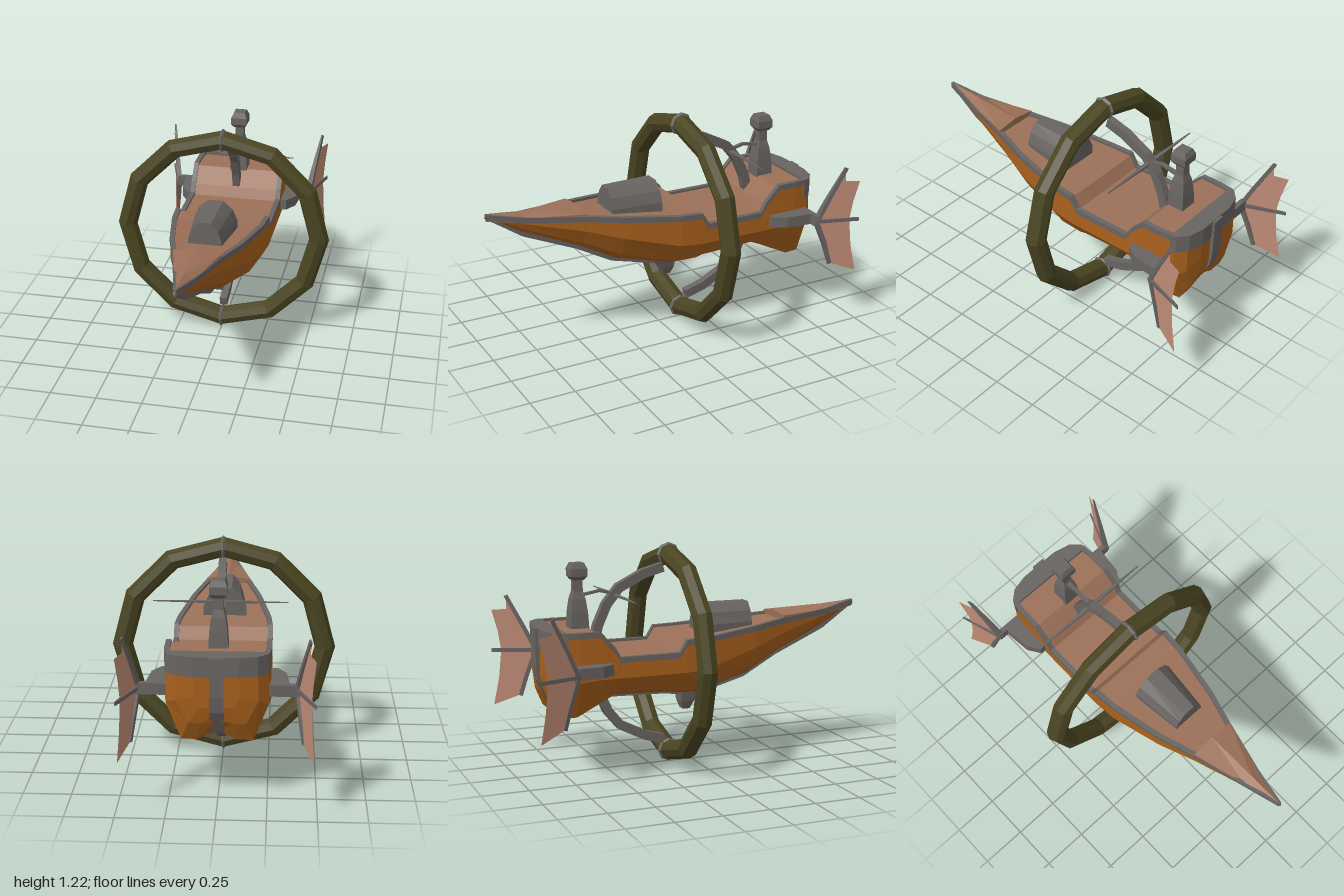
import * as THREE from 'three';

const mat = (color) => new THREE.MeshStandardMaterial({ color, flatShading: true, side: THREE.DoubleSide });
const GREY = mat(0x686462), WOOD = mat(0x9c7058), HULL = mat(0xa8601c);
const RING = mat(0x4a4522), FIN = mat(0xc08c76);

// Skin a list of equal-length cross-sections ([x, y, z] points)
function loft(sections, closed = true, caps = true) {
  const pos = [], n = sections[0].length;
  const tri = (a, b, c) => pos.push(...a, ...b, ...c);
  for (let i = 0; i + 1 < sections.length; i++) {
    const a = sections[i], b = sections[i + 1];
    for (let j = 0; j < (closed ? n : n - 1); j++) {
      const k = (j + 1) % n;
      tri(a[j], a[k], b[k]);
      tri(a[j], b[k], b[j]);
    }
  }
  if (caps) {
    const first = sections[0], last = sections[sections.length - 1];
    for (let j = 1; j + 1 < n; j++) {
      tri(first[0], first[j + 1], first[j]);
      tri(last[0], last[j], last[j + 1]);
    }
  }
  const g = new THREE.BufferGeometry();
  g.setAttribute('position', new THREE.Float32BufferAttribute(pos, 3));
  g.computeVertexNormals();
  return g;
}

// Flat bar following [z, y, halfWidth] points in the centre plane
function ribbon(path, thick) {
  return loft(path.map(([z, y, w], i) => {
    const p = path[Math.max(i - 1, 0)], q = path[Math.min(i + 1, path.length - 1)];
    const l = Math.hypot(q[0] - p[0], q[1] - p[1]);
    const nz = -(q[1] - p[1]) / l * thick / 2, ny = (q[0] - p[0]) / l * thick / 2;
    return [[-w, y + ny, z + nz], [w, y + ny, z + nz], [w, y - ny, z - nz], [-w, y - ny, z - nz]];
  }));
}

// Hull stations: z, half width, deck, chine, outer bottom, inner bottom, keel
const STATIONS = [
  [1.0, 0.004, 0.838, 0.835, 0.833, 0.831, 0.83],
  [0.8, 0.05, 0.8, 0.77, 0.735, 0.715, 0.705],
  [0.5, 0.13, 0.778, 0.7, 0.62, 0.59, 0.575],
  [0.3, 0.19, 0.755, 0.64, 0.53, 0.485, 0.465],
  [0.0, 0.25, 0.725, 0.56, 0.44, 0.405, 0.385],
  [-0.13, 0.26, 0.72, 0.55, 0.44, 0.41, 0.4],
  [-0.17, 0.26, 0.655, 0.55, 0.45, 0.42, 0.41],
  [-0.5, 0.26, 0.655, 0.55, 0.46, 0.43, 0.42],
  [-0.53, 0.26, 0.71, 0.55, 0.44, 0.42, 0.42],
  [-0.61, 0.26, 0.795, 0.55, 0.4, 0.39, 0.41],
  [-0.72, 0.26, 0.795, 0.54, 0.345, 0.345, 0.39],
  [-0.8, 0.25, 0.795, 0.54, 0.345, 0.345, 0.395],
  [-0.85, 0.2, 0.795, 0.57, 0.45, 0.45, 0.47],
  [-0.87, 0.11, 0.795, 0.6, 0.54, 0.54, 0.54],
];

export function createModel() {
  const root = new THREE.Group();
  const add = (name, geo, m, x = 0, y = 0, z = 0) => {
    const mesh = new THREE.Mesh(geo, m);
    mesh.name = name;
    mesh.position.set(x, y, z);
    root.add(mesh);
    return mesh;
  };

  // Hull with twin stern lobes
  add('hull', loft(STATIONS.map(([z, w, top, mid, lo, li, bot]) => {
    const half = [[w, top], [w * 1.02, mid], [w * 0.72, lo], [w * 0.4, li]];
    return [...half.map(([x, y]) => [x, y, z]), [0, bot, z],
      ...half.reverse().map(([x, y]) => [-x, y, z])];
  }), false), HULL);
  add('deck', loft(STATIONS.map(([z, w, top]) =>
    [[-w, top - 0.008, z], [w, top - 0.008, z]]), false, false), WOOD);

  // Rails along both deck edges
  for (const s of [1, -1]) {
    add(s > 0 ? 'leftRail' : 'rightRail', loft(STATIONS.map(([z, w, t]) => {
      const i = Math.max(w - 0.022, 0), o = w + 0.005;
      return [[s * i, t + 0.006, z], [s * o, t + 0.006, z], [s * o, t - 0.025, z], [s * i, t - 0.025, z]];
    })), GREY);
  }

  // Raised fore deck
  add('foreDeck', loft([[1, 0.003, 0.836, 0.842], [0.8, 0.05, 0.802, 0.828], [0.5, 0.128, 0.795, 0.812]]
    .map(([z, w, e, c]) => [[-w, e - 0.03, z], [-w, e, z], [0, c, z], [w, e, z], [w, e - 0.03, z]])), WOOD);

  // Band around the top of the stern
  add('sternBand', loft([[-0.62, 0.264], [-0.78, 0.26], [-0.81, 0.25], [-0.855, 0.2], [-0.876, 0.11]]
    .map(([z, w]) => [[-w, 0.7, z], [-w, 0.802, z], [w, 0.802, z], [w, 0.7, z]])
    .slice(1)), GREY);

  // Keel strip running from bow to stern and up the back
  add('keel', ribbon([[1, 0.834, 0.004], [0.8, 0.7, 0.014], [0.5, 0.57, 0.02], [0.3, 0.46, 0.024],
    [0, 0.38, 0.028], [-0.17, 0.405, 0.03], [-0.5, 0.415, 0.03], [-0.72, 0.39, 0.035],
    [-0.8, 0.395, 0.035], [-0.865, 0.52, 0.035], [-0.878, 0.6, 0.035], [-0.878, 0.8, 0.035]], 0.025), GREY);
  add('keelFin', loft([[0.4, 0.05, 0.05, -0.08], [0.34, 0.04, 0.0, -0.075], [0.295, 0.025, -0.02, -0.06]]
    .map(([y, w, a, b]) => [[-w, y, a], [w, y, a], [w, y, b], [-w, y, b]])), GREY);

  // Arched cabin, narrower toward the bow
  add('cabin', loft([[0.04, 0.118], [0.325, 0.09]].map(([z, w]) =>
    [[1, 0.72], [1, 0.77], [0.78, 0.83], [0.35, 0.875], [-0.35, 0.875], [-0.78, 0.83], [-1, 0.77], [-1, 0.72]]
      .map(([x, y]) => [x * w, y, z]))), GREY);

  // Mast with its lantern-like head
  const squareStack = (rows) => loft(rows.map(([y, a]) => [[-a, y, -a], [a, y, -a], [a, y, a], [-a, y, a]]));
  add('mast', squareStack([[0.78, 0.05], [0.87, 0.045], [0.94, 0.036], [0.98, 0.025], [1.06, 0.023]]), GREY, 0, 0, -0.65);
  add('mastHead', squareStack([[1.04, 0.03], [1.06, 0.045], [1.1, 0.045], [1.13, 0.032]]), GREY, 0, 0, -0.65);

  // Long thin crossbar held ahead of the mast
  add('crossbar', loft([[-0.345, 0.003], [-0.03, 0.012], [0.03, 0.012], [0.345, 0.003]]
    .map(([x, a]) => [[x, 0.95 + a / 2, -a], [x, 0.95 + a / 2, a], [x, 0.95 - a / 2, a], [x, 0.95 - a / 2, -a]])),
  GREY, 0, 0, -0.445);
  add('crossbarArm', ribbon([[-0.42, 0.945, 0.012], [-0.47, 0.96, 0.01], [-0.53, 0.975, 0.01], [-0.64, 0.955, 0.012]], 0.014), GREY);

  // Large ring around the hull
  add('ring', new THREE.TorusGeometry(0.545, 0.055, 8, 12), RING, 0, 0.61, -0.135);

  // Ring clamps and curved struts above and below
  for (const s of [1, -1]) {
    const side = s > 0 ? 'upper' : 'lower';
    const clamp = add(side + 'Clamp', new THREE.TorusGeometry(0.053, 0.012, 4, 8), GREY, 0, 0.61 + s * 0.543, -0.135);
    clamp.rotation.y = Math.PI / 2;
    add(side + 'Strut', ribbon([[-0.17, 0.475], [-0.28, 0.445], [-0.42, 0.375], [-0.49, 0.29], [-0.54, 0.18], [-0.57, 0.05]]
      .filter(([, h]) => s > 0 || h > 0.1)
      .map(([z, h]) => [z, 0.61 + s * h, 0.021]), 0.05), GREY);
  }

  // Side outriggers carrying fish-tail fins
  const wing = new THREE.Shape([[0.2, 0.55], [0.295, 0.55], [0.34, 0.62], [0.355, 0.765], [0.405, 0.765], [0.405, 0.795], [0.2, 0.795]]
    .map(([x, z]) => new THREE.Vector2(x, z)));
  const wingGeo = new THREE.ExtrudeGeometry(wing, { depth: 0.06, bevelEnabled: false });
  wingGeo.rotateX(-Math.PI / 2).translate(0, 0.575, 0);

  // Lean fin parts outward toward the rear
  const lean = (g) => {
    const p = g.attributes.position;
    for (let i = 0; i < p.count; i++) p.setX(i, p.getX(i) + 0.4 + (-0.78 - p.getZ(i)) * 0.36);
    g.computeVertexNormals();
    return g;
  };
  const web = new THREE.Shape([[0.77, 0.605], [0.83, 0.73], [0.915, 0.9], [0.92, 0.835], [0.995, 0.83], [0.965, 0.71],
    [0.95, 0.605], [0.965, 0.45], [0.995, 0.295], [0.855, 0.35], [0.82, 0.47]].map(([z, y]) => new THREE.Vector2(z, y)));
  const webGeo = lean(new THREE.ShapeGeometry(web).rotateY(Math.PI / 2));
  const spars = [
    [[-0.77, 0.6, 0.016], [-0.83, 0.73, 0.012], [-0.92, 0.91, 0.004]],
    [[-0.77, 0.61, 0.016], [-0.82, 0.47, 0.012], [-0.855, 0.345, 0.005]],
    [[-0.76, 0.605, 0.016], [-0.88, 0.605, 0.009], [-1.0, 0.605, 0.003]],
  ].map((path) => lean(ribbon(path, 0.02)));
  for (const s of [1, -1]) {
    const tail = new THREE.Group();
    tail.name = s > 0 ? 'leftTail' : 'rightTail';
    for (const [name, geo, m] of [['outrigger', wingGeo, GREY], ['finWeb', webGeo, FIN],
      ...spars.map((g) => ['finSpar', g, GREY])]) {
      const mesh = new THREE.Mesh(geo, m);
      mesh.name = name;
      tail.add(mesh);
    }
    tail.scale.x = s;
    root.add(tail);
  }
  return root;
}
